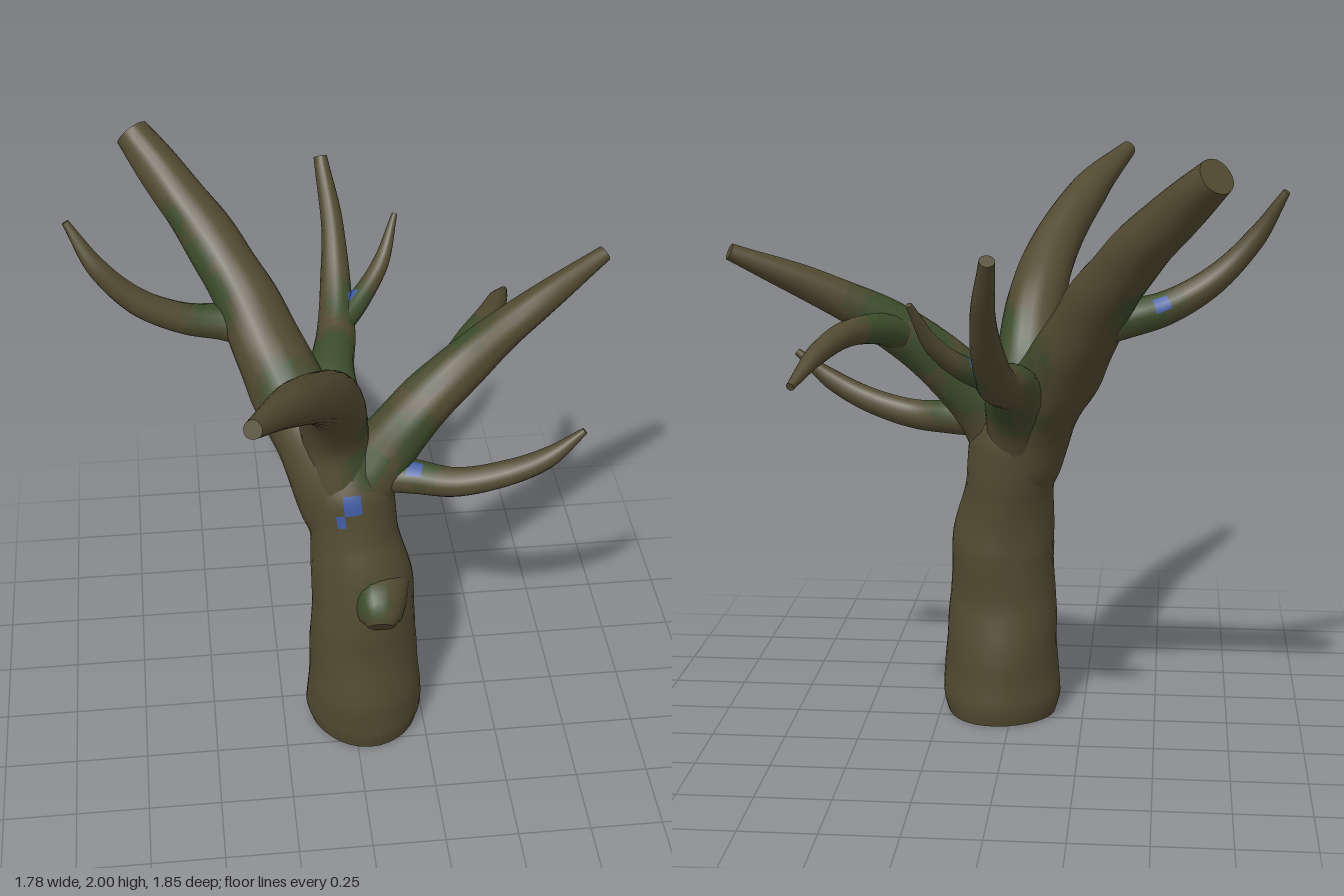
import * as THREE from 'three';

const flat = (name, color) => Object.assign(new THREE.MeshStandardMaterial({ color }), { name });

// soft, repeatable lumpiness for bark
const lumps = (x, y, z) =>
  (Math.sin(x * 17 + y * 9) + Math.sin(y * 21 - z * 13 + 1) + Math.sin(z * 19 + x * 11 + 2)) / 3;

// moss patches around the crotches: x, y, z, radius
const MOSS = [
  [-0.47, 1.66, -0.36, 0.09], [-0.54, 1.76, -0.45, 0.07], [-0.41, 1.55, -0.3, 0.09],
  [-0.43, 1.53, -0.33, 0.15], [-0.22, 1.36, -0.06, 0.1], [-0.16, 1.25, -0.1, 0.1],
  [-0.02, 1.28, -0.12, 0.17], [-0.02, 1.31, -0.3, 0.15], [0.05, 1.2, -0.22, 0.18],
  [0.06, 1.35, -0.53, 0.11], [-0.04, 1.15, -0.12, 0.13],
  [0.12, 1.2, -0.06, 0.15], [0.28, 1.33, -0.09, 0.13], [0.4, 1.43, -0.16, 0.15],
  [0.21, 1.22, 0.08, 0.1], [0.22, 1.11, 0.08, 0.1],
  [0.04, 1.34, 0.05, 0.14], [0.04, 1.13, 0.1, 0.1], [0.05, 0.68, 0.28, 0.075],
];

// small blue lichen flecks
const LICHEN = [
  [0.0, 1.02, 0.178, 0.035], [-0.05, 0.95, 0.187, 0.026], [-0.19, 1.3, -0.03, 0.03],
  [0.06, 1.36, -0.56, 0.03], [-0.5, 1.52, -0.325, 0.03], [0.2, 1.1, 0.11, 0.025],
];

// 0 bark, 1 thin moss, 2 thick moss, 3 lichen
function covering(x, y, z) {
  const depth = ([a, b, c, r]) => 1 - Math.hypot(x - a, y - b, z - c) / r;
  if (LICHEN.some((s) => depth(s) > 0)) return 3;
  const m = Math.max(...MOSS.map(depth)) + 0.12 * lumps(x * 2, y * 2, z * 2);
  return m > 0.32 ? 2 : m > 0.08 ? 1 : 0;
}

// Tapered limb through points [x, y, z, radius], its faces sorted by covering.
function limb(name, points, materials, { sides = 16, rings = 40, rough = 0.05 } = {}) {
  const curve = new THREE.CatmullRomCurve3(points.map((p) => new THREE.Vector3(p[0], p[1], p[2])));
  const frames = curve.computeFrenetFrames(rings, false);
  const pos = [];
  const groups = [[], [], [], []];

  for (let i = 0; i <= rings; i++) {
    const t = curve.getUtoTmapping(i / rings);
    const c = curve.getPoint(t);
    const f = t * (points.length - 1);
    const k = Math.min(Math.floor(f), points.length - 2);
    const r = THREE.MathUtils.lerp(points[k][3], points[k + 1][3], f - k);
    for (let j = 0; j < sides; j++) {
      const a = (j / sides) * Math.PI * 2;
      const d = frames.normals[i].clone().multiplyScalar(Math.cos(a))
        .addScaledVector(frames.binormals[i], Math.sin(a));
      const s = r * (1 + rough * lumps(c.x + d.x * 0.2, c.y + d.y * 0.2, c.z + d.z * 0.2));
      const p = c.clone().addScaledVector(d, s);
      pos.push(p.x, Math.max(0, p.y), p.z);
    }
  }

  // side wall
  for (let i = 0; i < rings; i++) {
    for (let j = 0; j < sides; j++) {
      const a = i * sides + j, b = i * sides + ((j + 1) % sides);
      const c = b + sides, d = a + sides;
      const mid = [0, 1, 2].map((n) => (pos[a * 3 + n] + pos[c * 3 + n]) / 2);
      groups[covering(...mid)].push(a, b, c, a, c, d);
    }
  }

  // end caps on their own vertices so the rims stay crisp
  for (const end of [0, rings]) {
    const first = pos.length / 3;
    for (let j = 0; j < sides; j++) {
      const o = (end * sides + j) * 3;
      pos.push(pos[o], pos[o + 1], pos[o + 2]);
    }
    const c = curve.getPoint(end / rings);
    pos.push(c.x, c.y, c.z);
    for (let j = 0; j < sides; j++) {
      const a = first + j, b = first + ((j + 1) % sides), m = first + sides;
      groups[0].push(...(end ? [m, a, b] : [m, b, a]));
    }
  }

  const geo = new THREE.BufferGeometry();
  geo.setAttribute('position', new THREE.Float32BufferAttribute(pos, 3));
  geo.setIndex(groups.flat());
  let start = 0;
  groups.forEach((g, m) => {
    if (g.length) geo.addGroup(start, g.length, m);
    start += g.length;
  });
  geo.computeVertexNormals();
  const mesh = new THREE.Mesh(geo, materials);
  mesh.name = name;
  return mesh;
}

export function createModel() {
  const tree = new THREE.Group();
  tree.name = 'bareTree';
  const mats = [
    flat('bark', 0x524a31), flat('mossyBark', 0x484a2e),
    flat('moss', 0x3c4c2b), flat('lichen', 0x3f5aa0),
  ];
  const add = (name, points, options) => tree.add(limb(name, points, mats, options));

  // trunk, leaning back as it rises
  add('trunk', [
    [0.04, 0, 0.095, 0.19], [0.04, 0.06, 0.095, 0.205], [0.04, 0.2, 0.1, 0.2],
    [0.035, 0.42, 0.1, 0.178], [0.035, 0.62, 0.095, 0.175], [0.01, 0.82, 0.06, 0.154],
    [-0.008, 1.0, 0.03, 0.152], [-0.015, 1.14, 0.005, 0.11],
  ], { sides: 32, rings: 50, rough: 0.045 });

  // healed stump knot on the front of the trunk
  add('knot', [
    [0.08, 0.64, 0.14, 0.115], [0.078, 0.635, 0.23, 0.098],
    [0.076, 0.615, 0.285, 0.078], [0.074, 0.595, 0.313, 0.045],
  ], { sides: 20, rings: 16, rough: 0.1 });

  // main boughs, rooted deep in the trunk so they flow out of it
  add('backRightBough', [
    [0.0, 0.72, 0.07, 0.1], [-0.04, 0.92, 0.035, 0.135], [-0.095, 1.1, -0.015, 0.138],
    [-0.2, 1.3, -0.15, 0.13], [-0.355, 1.6, -0.38, 0.1], [-0.52, 1.81, -0.57, 0.083],
    [-0.655, 1.955, -0.72, 0.06],
  ], { sides: 22, rings: 50 });
  add('frontBough', [
    [-0.01, 0.8, 0.06, 0.1], [-0.035, 1.02, 0.035, 0.125], [-0.055, 1.22, 0.035, 0.112],
    [-0.07, 1.43, 0.17, 0.1], [-0.13, 1.62, 0.4, 0.083], [-0.23, 1.77, 0.63, 0.066],
    [-0.36, 1.895, 0.91, 0.028],
  ], { sides: 20, rings: 48 });
  add('leftBough', [
    [0.0, 0.84, 0.05, 0.11], [0.06, 1.05, 0.035, 0.11], [0.22, 1.25, -0.01, 0.095],
    [0.4, 1.4, -0.075, 0.08], [0.62, 1.53, -0.165, 0.058], [0.88, 1.66, -0.272, 0.028],
  ]);
  add('backBough', [
    [-0.01, 0.88, 0.03, 0.1], [-0.025, 1.13, -0.1, 0.1], [-0.03, 1.235, -0.29, 0.078],
    [0.0, 1.28, -0.46, 0.066], [0.015, 1.38, -0.61, 0.054], [0.018, 1.54, -0.76, 0.04],
    [-0.008, 1.73, -0.905, 0.024],
  ]);

  // smaller branches growing from the boughs
  const twig = { sides: 14, rings: 30 };
  add('rightBranch', [
    [-0.24, 1.42, -0.27, 0.07], [-0.38, 1.46, -0.29, 0.062], [-0.52, 1.5, -0.27, 0.052],
    [-0.67, 1.59, -0.25, 0.045], [-0.79, 1.72, -0.255, 0.034], [-0.88, 1.87, -0.3, 0.012],
  ], twig);
  add('lowLeftBranch', [
    [0.06, 1.05, 0.05, 0.06], [0.2, 1.05, 0.08, 0.06], [0.34, 1.05, 0.125, 0.05],
    [0.5, 1.09, 0.15, 0.044], [0.64, 1.16, 0.165, 0.034], [0.755, 1.255, 0.16, 0.012],
  ], twig);
  add('leftBackBranch', [
    [0.34, 1.36, -0.06, 0.06], [0.42, 1.4, -0.18, 0.052], [0.5, 1.405, -0.31, 0.043],
    [0.565, 1.37, -0.47, 0.034], [0.62, 1.3, -0.645, 0.013],
  ], twig);
  add('backTwig', [
    [0.0, 1.29, -0.47, 0.045], [0.09, 1.345, -0.56, 0.038], [0.175, 1.43, -0.65, 0.03],
    [0.238, 1.575, -0.75, 0.01],
  ], twig);

  return tree;
}
